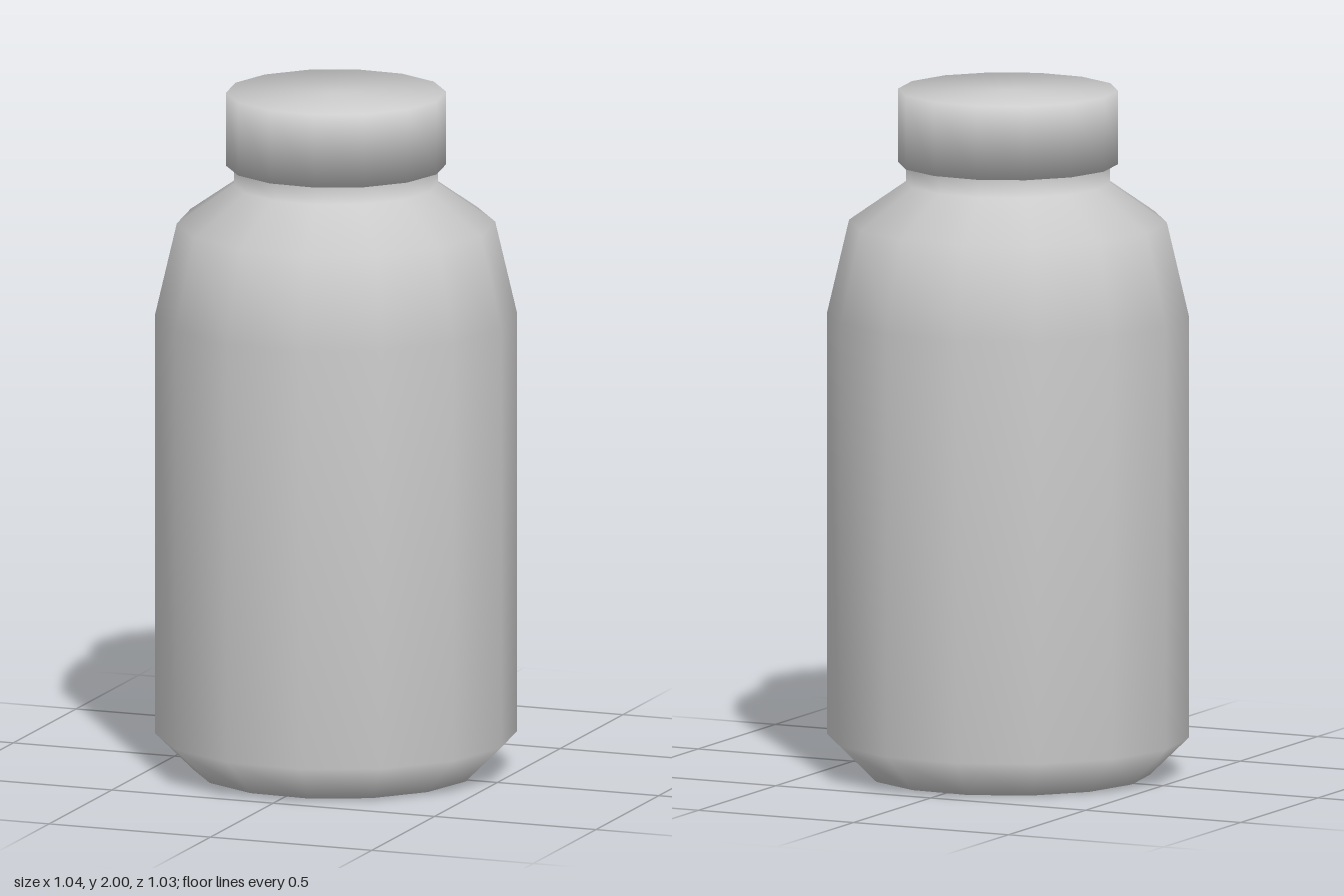
import * as THREE from 'three';

const SIDES = 14;
const TURN = THREE.MathUtils.degToRad(10);

// Smooth-shaded turned part from a bottom-to-top profile of [radius, y]
function turned(name, profile, material) {
  const points = profile.map(([r, y]) => new THREE.Vector2(r, y));
  const mesh = new THREE.Mesh(new THREE.LatheGeometry(points, SIDES, TURN), material);
  mesh.name = name;
  return mesh;
}

export function createModel() {
  const group = new THREE.Group();
  group.name = 'bottle';
  const grey = new THREE.MeshStandardMaterial({ color: 0xcccccc });

  // Body with bevelled base, sloping shoulder and short neck
  group.add(turned('body', [
    [0, 0], [0.41, 0], [0.523, 0.11], [0.523, 1.345],
    [0.46, 1.615], [0.295, 1.73], [0.295, 1.79],
  ], grey));

  // Screw cap, overhanging the neck
  group.add(turned('cap', [
    [0, 1.785], [0.318, 1.785], [0.318, 2], [0, 2],
  ], grey));

  return group;
}
